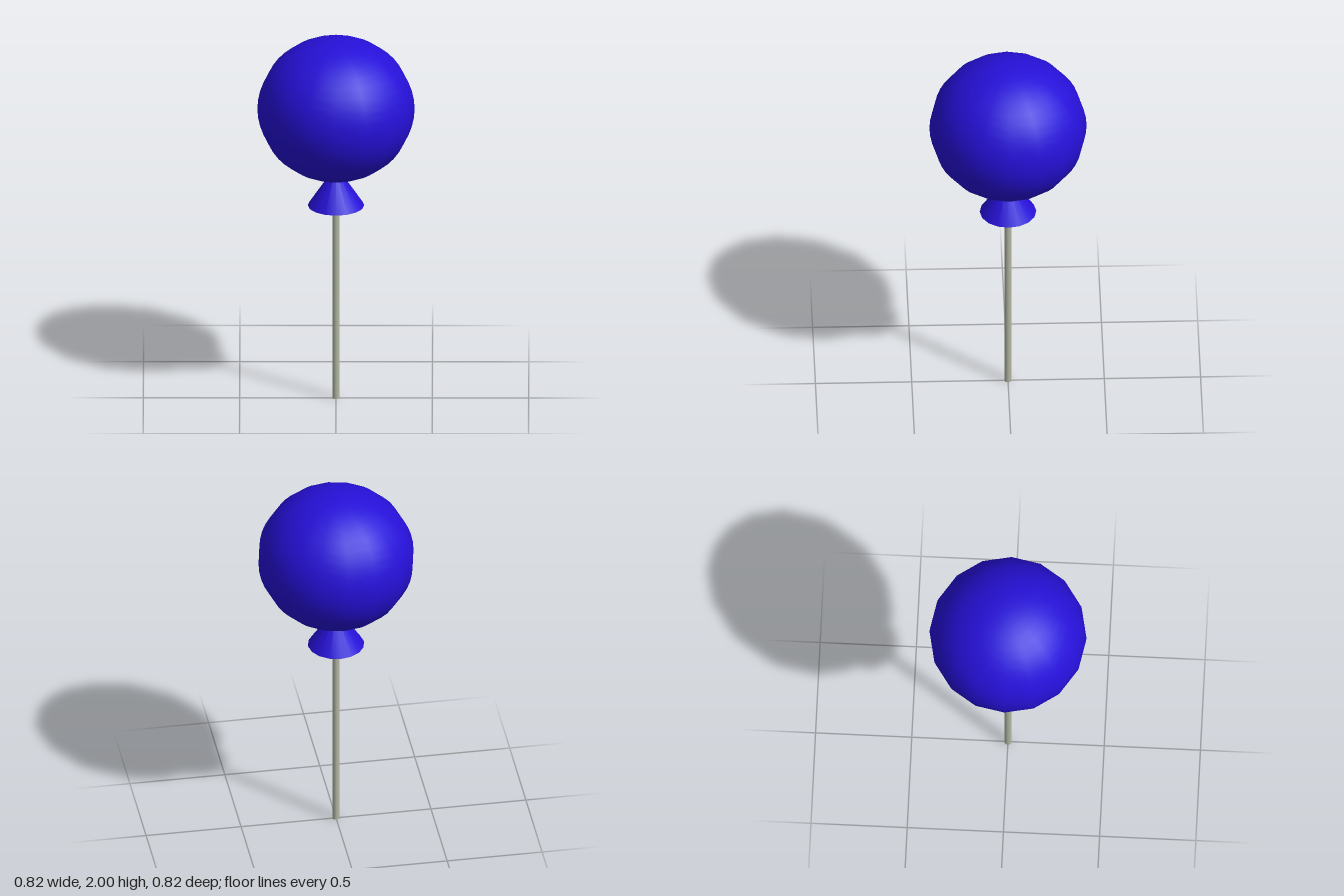
import * as THREE from 'three';

export function createModel() {
  const group = new THREE.Group();
  const blue = new THREE.MeshStandardMaterial({ color: 0x2610d8, side: THREE.DoubleSide });
  blue.name = 'balloon blue';
  const grey = new THREE.MeshStandardMaterial({ color: 0xb4b8a4 });
  grey.name = 'stick grey';

  const add = (name, geometry, material, y) => {
    const mesh = new THREE.Mesh(geometry, material);
    mesh.name = name;
    mesh.position.y = y;
    group.add(mesh);
    return mesh;
  };

  // Slightly squashed balloon, sixteen sides around
  const balloon = new THREE.SphereGeometry(0.408, 16, 24);
  balloon.scale(1, 0.38 / 0.408, 1);
  add('balloon', balloon, blue, 1.62);

  // Open flared neck, its tip hidden inside the balloon
  add('neck', new THREE.ConeGeometry(0.147, 0.22, 16, 1, true), blue, 1.08 + 0.11);

  // Stick, reaching up inside the neck
  add('stick', new THREE.CylinderGeometry(0.019, 0.019, 1.24, 8), grey, 0.62);

  return group;
}
